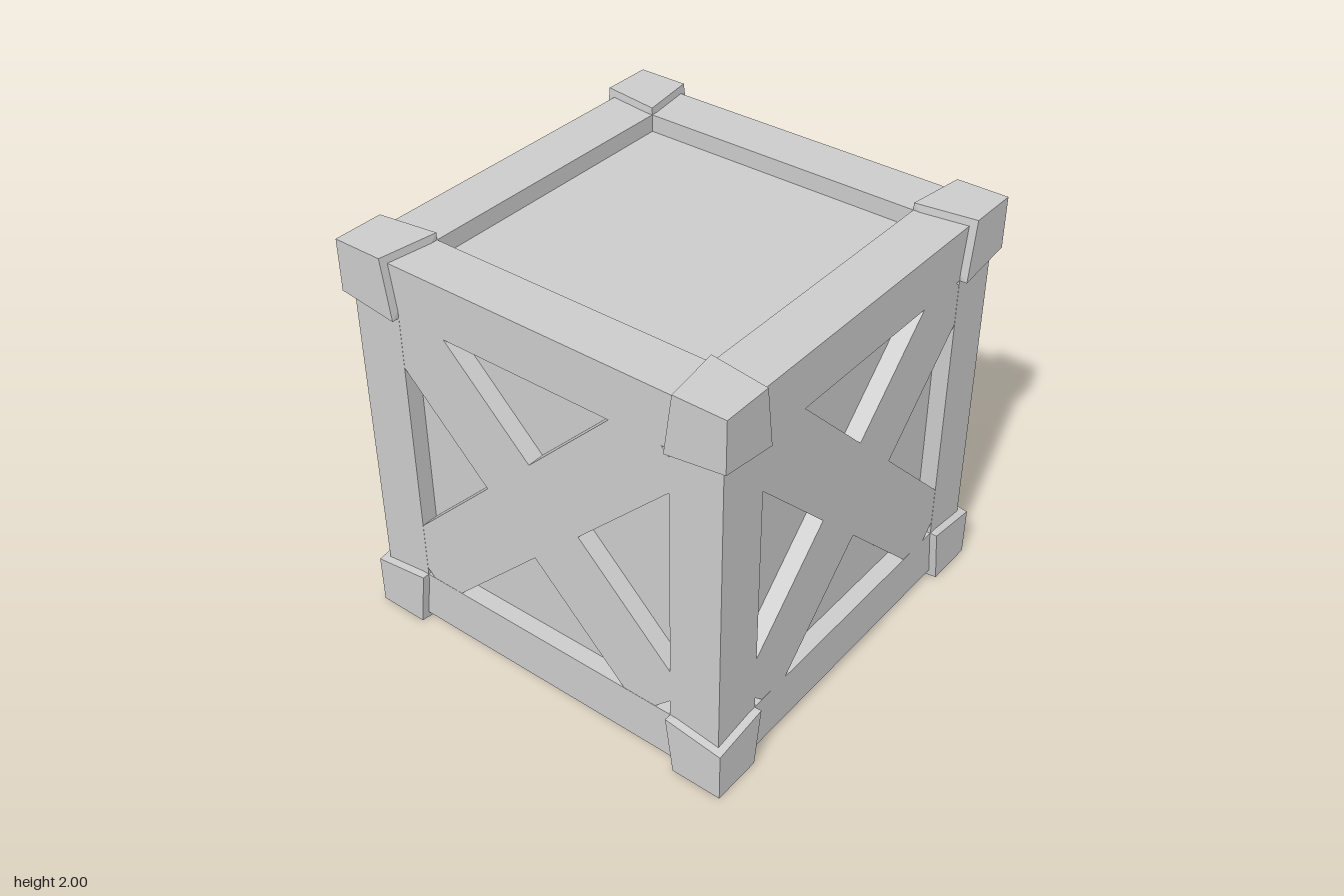
import * as THREE from 'three';
import { ConvexGeometry } from 'three/addons/geometries/ConvexGeometry.js';

const OUT = 0.965;   // outer face of the frame
const IN = 0.71;     // inner edge of the frame
const PANEL = 0.88;  // recessed panel face

export function createModel() {
  const crate = new THREE.Group();
  crate.name = 'crate';
  const body = new THREE.Group(); // built around its own centre, then raised
  body.position.y = 1;
  crate.add(body);
  const mat = new THREE.MeshStandardMaterial({ color: 0xcccccc, flatShading: true });

  const add = (name, geo, parent = body) => {
    const mesh = new THREE.Mesh(geo, mat);
    mesh.name = name;
    parent.add(mesh);
    return mesh;
  };

  // Recessed panels on all six sides
  add('panels', new THREE.BoxGeometry(2 * PANEL, 2 * PANEL, 2 * PANEL));

  // Twelve frame beams, four along each axis
  const w = OUT - IN, c = (OUT + IN) / 2, len = 2 * c;
  for (const a of [-c, c]) {
    for (const b of [-c, c]) {
      add('beamX', new THREE.BoxGeometry(len, w, w)).position.set(0, a, b);
      add('beamY', new THREE.BoxGeometry(w, len, w)).position.set(a, 0, b);
      add('beamZ', new THREE.BoxGeometry(w, w, len)).position.set(a, b, 0);
    }
  }

  // Crossed braces on the four upright sides, slightly off centre
  const depth = 0.1;
  const offsets = [-0.021, -0.007, 0.005, 0];
  offsets.forEach((x, i) => {
    const side = new THREE.Group();
    side.name = 'crossBrace';
    side.rotation.y = i * Math.PI / 2;
    for (const s of [-1, 1]) {
      const bar = add('brace', new THREE.BoxGeometry(1.952, 0.357, depth), side);
      bar.position.set(x, 0.021, OUT - 0.001 - depth / 2);
      bar.rotation.z = s * Math.PI / 4;
    }
    body.add(side);
  });

  // Tapered corner caps; each is symmetric, so quarter turns place all eight
  const p = (x, y, z) => new THREE.Vector3(x, y, z);
  const capGeo = new ConvexGeometry([
    p(1, 1, 1), p(0.75, 1, 1), p(1, 0.75, 1), p(1, 1, 0.75),
    p(IN, IN, 1), p(IN, 1, IN), p(1, IN, IN), p(IN, IN, IN),
  ]);
  for (const flip of [0, Math.PI]) {
    for (let i = 0; i < 4; i++) {
      add('cornerCap', capGeo).rotation.set(flip, i * Math.PI / 2, 0);
    }
  }
  return crate;
}
